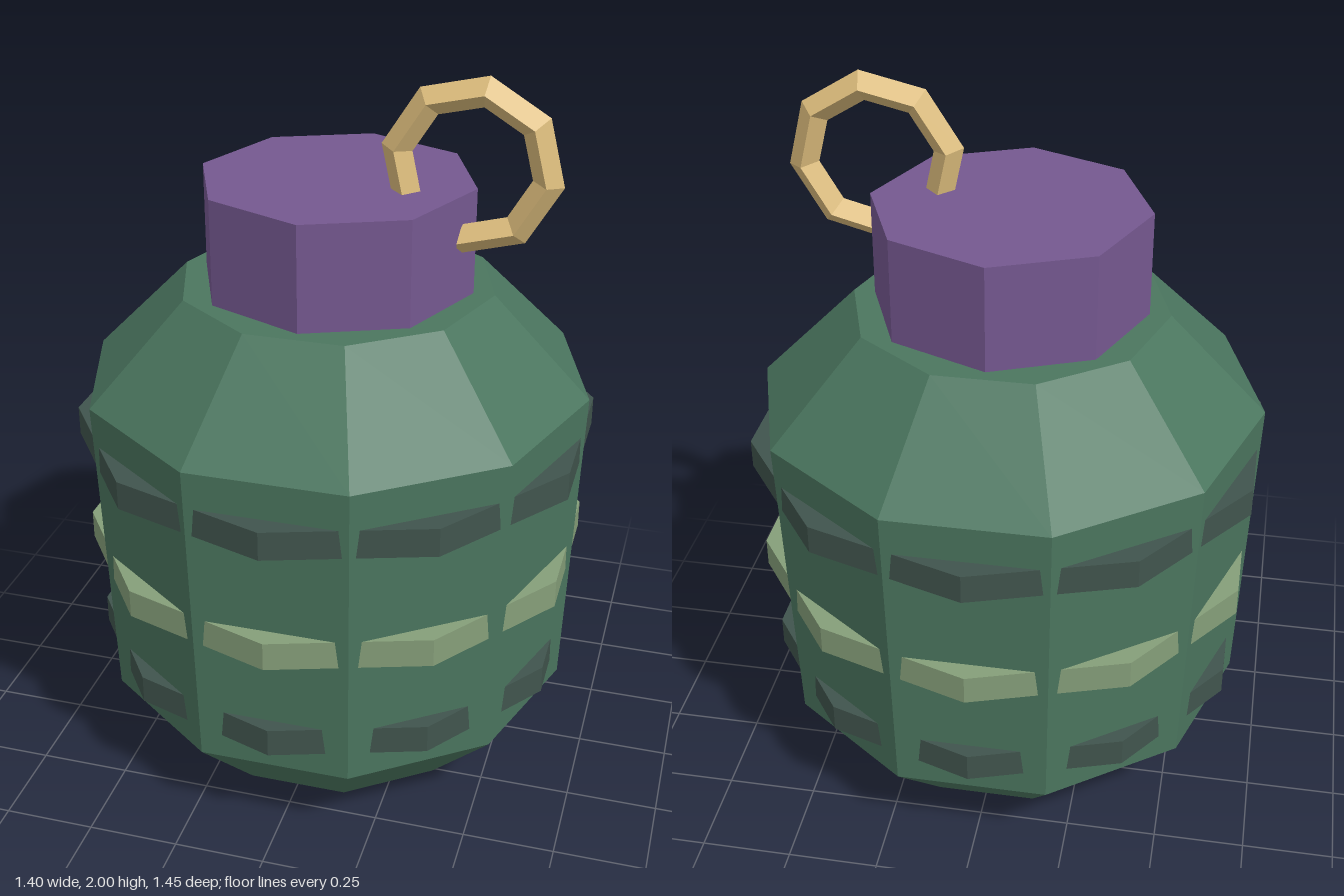
import * as THREE from 'three';

const colour = (name, hex) => {
  const m = new THREE.MeshStandardMaterial({ color: hex });
  m.name = name;
  return m;
};

// Separate the faces so every facet is shaded flat
function facet(geometry) {
  const g = geometry.toNonIndexed();
  g.computeVertexNormals();
  return g;
}

export function createModel() {
  const model = new THREE.Group();
  model.name = 'grenade';

  const green = colour('body green', 0x4b765f);
  const dark = colour('dark band', 0x40544d);
  const pale = colour('pale band', 0x859e79);
  const purple = colour('cap purple', 0x755890);
  const gold = colour('ring gold', 0xdcbc7c);
  gold.side = THREE.DoubleSide;

  const add = (name, geometry, material, x = 0, y = 0, z = 0) => {
    const mesh = new THREE.Mesh(facet(geometry), material);
    mesh.name = name;
    mesh.position.set(x, y, z);
    model.add(mesh);
    return mesh;
  };

  // Ten-sided body with a flat face to the front
  const profile = [[0, 0], [0.443, 0], [0.667, 0.237], [0.7, 1.127], [0.432, 1.4], [0, 1.4]];
  const body = new THREE.LatheGeometry(profile.map(([r, y]) => new THREE.Vector2(r, y)), 10, Math.PI / 10);
  add('body', body, green);

  // Bands turned half a side, so only their corners break through the body faces
  const bands = [
    ['upperBand', 0.723, 0.983, dark],
    ['middleBand', 0.707, 0.643, pale],
    ['lowerBand', 0.684, 0.35, dark],
  ];
  for (const [name, r, y, material] of bands) {
    add(name, new THREE.CylinderGeometry(r, r, 0.08, 10), material, 0, y, 0);
  }

  // Eight-sided cap
  add('cap', new THREE.CylinderGeometry(0.374, 0.374, 0.29, 8), purple, 0, 1.545, 0);

  // Open pull ring with a diamond section, one end sunk in the cap
  const ring = new THREE.TorusGeometry(0.198, 0.041, 4, 7, 5.445);
  add('pullRing', ring, gold, 0.368, 1.768, 0.058).rotation.z = -1.7;

  return model;
}
